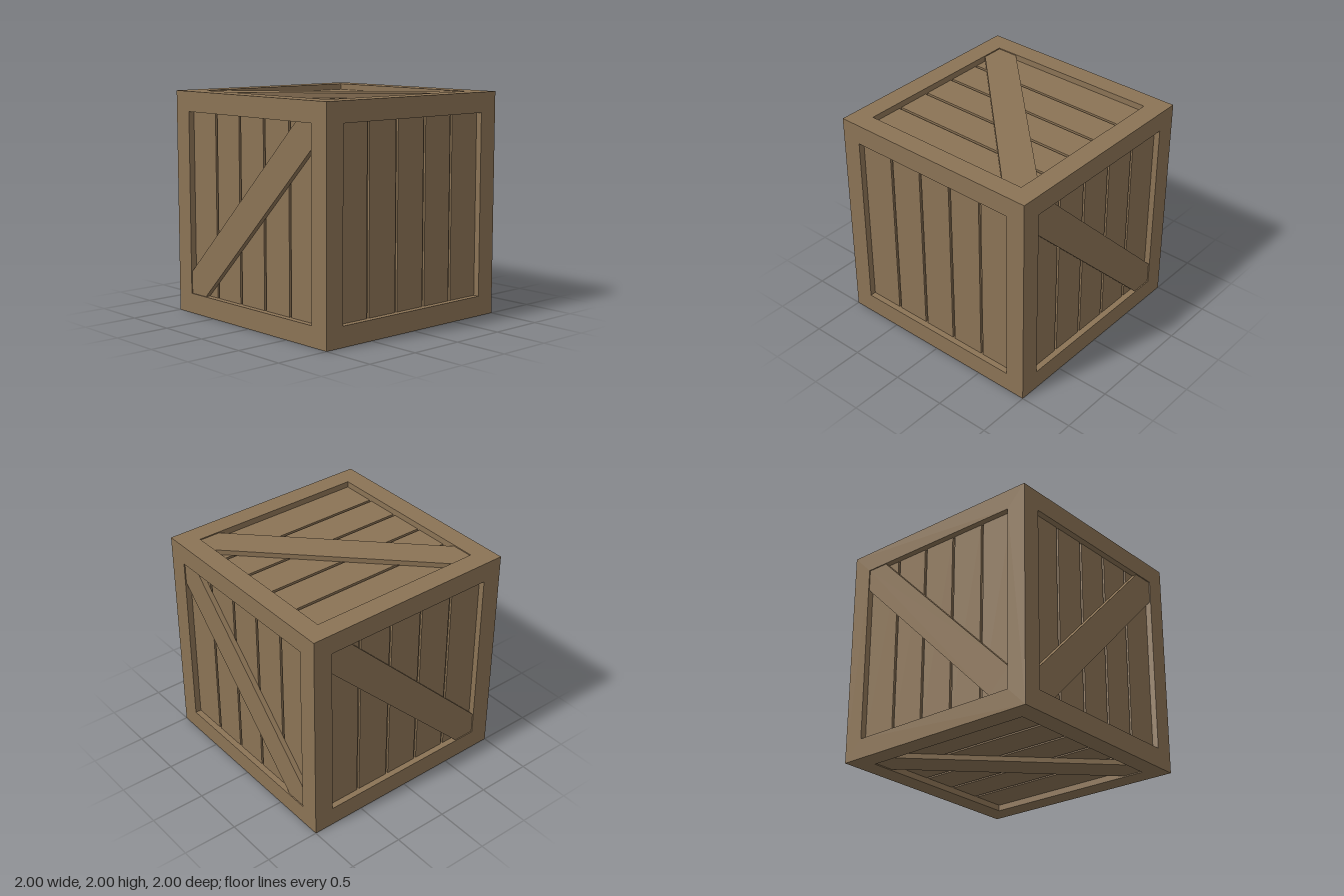
import * as THREE from 'three';

const HALF = 1;         // half of the crate's side
const INNER = 0.82;     // half of the opening inside the frame
const PLANK_Z = 0.945;  // plank surface, measured from the centre
const CORE_Z = 0.925;   // bottom of the grooves
const BRACE_Z = 0.99;   // brace surface
const wood = new THREE.MeshStandardMaterial({ color: 0x8b7355 });

function add(parent, name, geometry, x = 0, y = 0, z = 0) {
  const mesh = new THREE.Mesh(geometry, wood);
  mesh.name = name;
  mesh.position.set(x, y, z);
  parent.add(mesh);
  return mesh;
}

function squareShape(half, Type = THREE.Shape) {
  return new Type([[-half, -half], [half, -half], [half, half], [-half, half]]
    .map(([x, y]) => new THREE.Vector2(x, y)));
}

// Front and back square frames joined by four corner rails
function buildFrame() {
  const frame = new THREE.Group();
  frame.name = 'frame';
  const beam = HALF - INNER;
  const shape = squareShape(HALF);
  shape.holes.push(squareShape(INNER, THREE.Path));
  const ring = new THREE.ExtrudeGeometry(shape, { depth: beam, bevelEnabled: false });
  add(frame, 'frontFrame', ring, 0, 0, INNER);
  add(frame, 'backFrame', ring, 0, 0, -HALF);
  const rail = new THREE.BoxGeometry(beam, beam, 2 * INNER);
  const mid = (HALF + INNER) / 2;
  for (const sx of [-1, 1]) for (const sy of [-1, 1]) add(frame, 'cornerRail', rail, sx * mid, sy * mid, 0);
  return frame;
}

// Five planks facing +z; slope +1 or -1 adds a diagonal brace, 0 leaves it out
function buildPanel(name, slope) {
  const panel = new THREE.Group();
  panel.name = name;
  const count = 5, gap = 0.025, pitch = 2 * INNER / count;
  for (let i = 0; i < count; i++) {
    const left = -INNER + i * pitch + (i > 0 ? gap / 2 : 0);
    const right = -INNER + (i + 1) * pitch - (i < count - 1 ? gap / 2 : 0);
    const plank = new THREE.BoxGeometry(right - left, 2 * INNER, PLANK_Z - CORE_Z);
    add(panel, 'plank', plank, (left + right) / 2, 0, (PLANK_Z + CORE_Z) / 2);
  }
  if (slope) {
    const a = INNER, b = INNER - 0.2;
    const outline = [[-a, -a], [-b, -a], [a, b], [a, a], [b, a], [-a, -b]]
      .map(([x, y]) => new THREE.Vector2(x * slope, y));
    const depth = BRACE_Z - PLANK_Z;
    const brace = new THREE.ExtrudeGeometry(new THREE.Shape(outline), { depth, bevelEnabled: false });
    add(panel, 'diagonalBrace', brace, 0, 0, PLANK_Z);
  }
  return panel;
}

export function createModel() {
  const crate = new THREE.Group();
  crate.name = 'crate';
  const body = new THREE.Group();
  body.name = 'body';
  body.position.y = HALF;
  crate.add(body);

  body.add(buildFrame());
  // Backing behind the plank gaps
  add(body, 'core', new THREE.BoxGeometry(2 * CORE_Z, 2 * CORE_Z, 2 * CORE_Z));

  // name, brace slope, turn about x, turn about y, turn of the planks
  const q = Math.PI / 2;
  const sides = [
    ['frontPanel', 0, 0, 0, 0],
    ['backPanel', -1, 0, 2 * q, 0],
    ['leftPanel', -1, 0, q, 0],
    ['rightPanel', 1, 0, -q, 0],
    ['topPanel', 1, -q, 0, q],
    ['bottomPanel', 1, q, 0, q],
  ];
  for (const [name, slope, rx, ry, rz] of sides) {
    const panel = buildPanel(name, slope);
    panel.rotation.set(rx, ry, rz);
    body.add(panel);
  }
  return crate;
}
